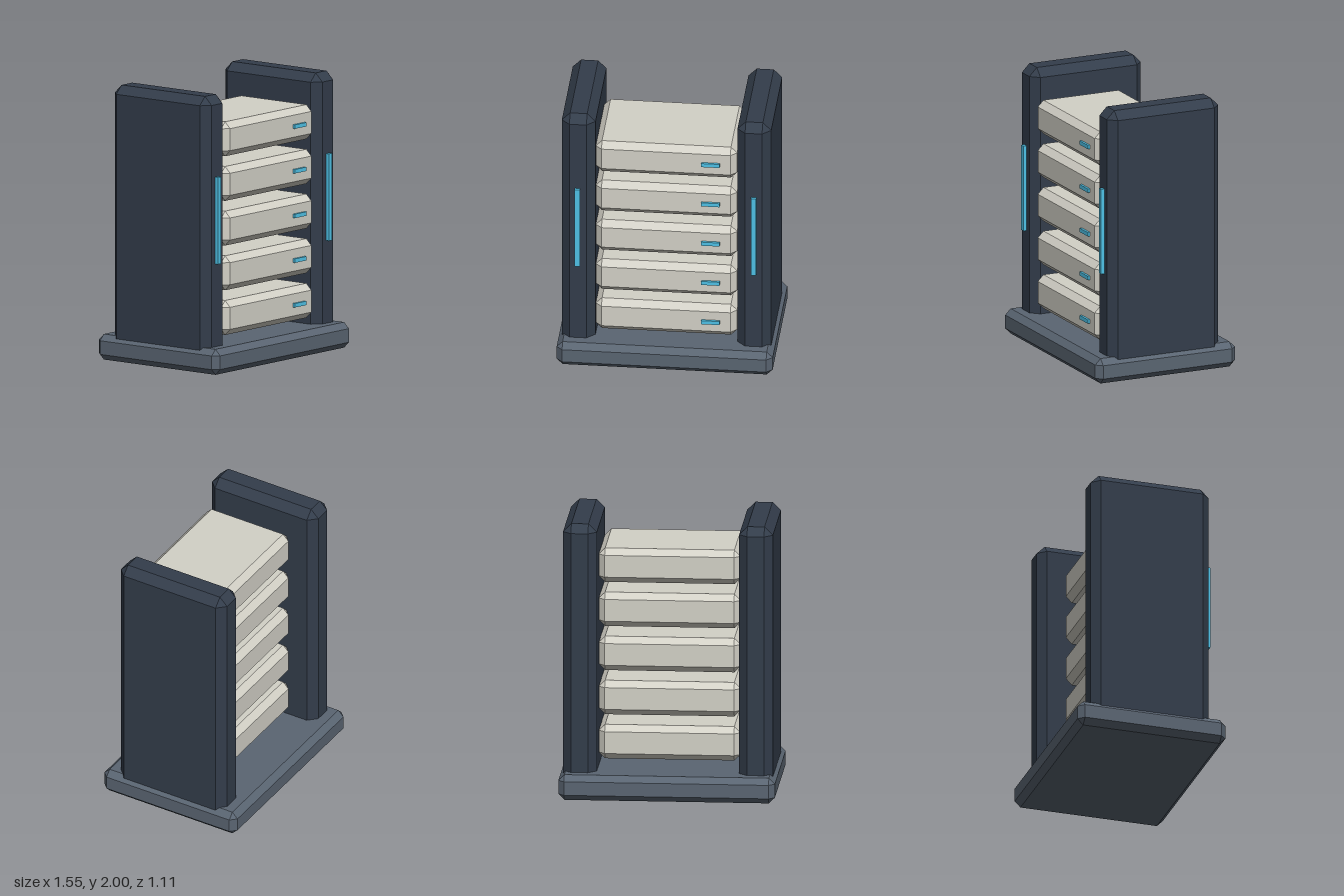
import * as THREE from 'three';
import { ConvexGeometry } from 'three/addons/geometries/ConvexGeometry.js';

const paint = (color) => new THREE.MeshStandardMaterial({ color, flatShading: true });

// Box with every edge bevelled by c: three points at each of the eight corners.
function chamferBox(w, h, d, c) {
  const points = [];
  for (const sx of [-1, 1]) for (const sy of [-1, 1]) for (const sz of [-1, 1]) {
    for (let axis = 0; axis < 3; axis++) {
      const inset = [c, c, c];
      inset[axis] = 0;
      points.push(new THREE.Vector3(
        sx * (w / 2 - inset[0]), sy * (h / 2 - inset[1]), sz * (d / 2 - inset[2])));
    }
  }
  return new ConvexGeometry(points);
}

export function createModel() {
  const group = new THREE.Group();
  const baseMat = paint(0x5a6572);
  const wallMat = paint(0x333d4b);
  const trayMat = paint(0xd3d1c7);
  const lightMat = paint(0x4fc3e8);

  const add = (name, geometry, material, x, y, z) => {
    const mesh = new THREE.Mesh(geometry, material);
    mesh.name = name;
    mesh.position.set(x, y, z);
    group.add(mesh);
  };

  // Base slab
  add('base', chamferBox(1.552, 0.185, 1.11, 0.043), baseMat, 0, 0.0925, 0);

  // Side walls, sunk into the base, each with a vertical light strip
  const wall = chamferBox(0.242, 1.9, 0.886, 0.06);
  const strip = new THREE.BoxGeometry(0.038, 0.63, 0.05);
  for (const [side, s] of [['left', 1], ['right', -1]]) {
    add(side + 'Wall', wall, wallMat, s * 0.631, 1.05, 0);
    add(side + 'LightStrip', strip, lightMat, s * 0.633, 1.1, 0.443);
  }

  // Stack of trays, each with a small indicator on its front
  const tray = chamferBox(1.016, 0.25, 0.686, 0.045);
  const indicator = new THREE.BoxGeometry(0.132, 0.029, 0.035);
  for (let i = 0; i < 5; i++) {
    const y = 0.364 + i * 0.324;
    add('tray' + (i + 1), tray, trayMat, 0, y, 0.085);
    add('trayIndicator' + (i + 1), indicator, lightMat, 0.321, y - 0.002, 0.4275);
  }
  return group;
}
